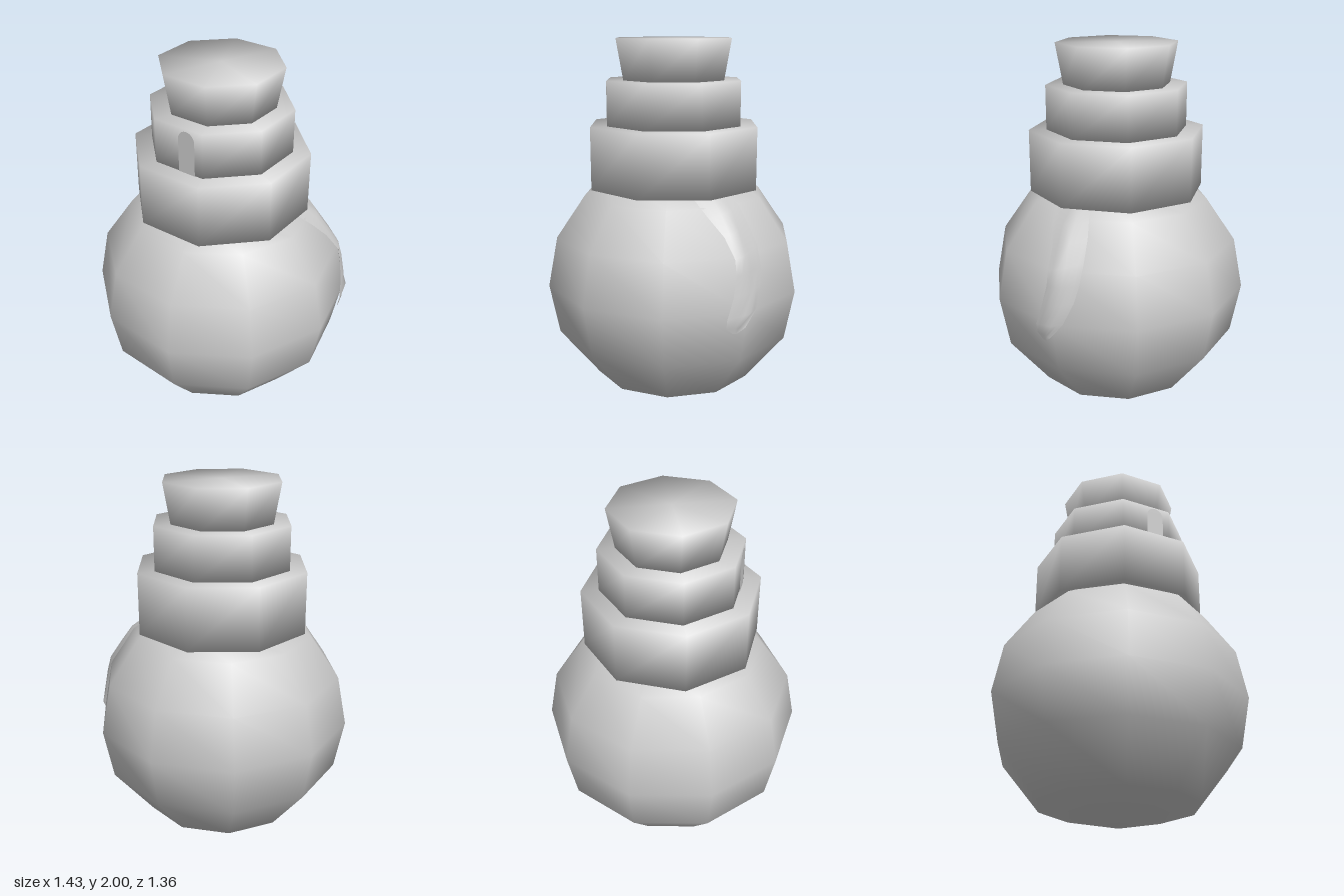
import * as THREE from 'three';
import { mergeVertices } from 'three/addons/utils/BufferGeometryUtils.js';

const material = new THREE.MeshStandardMaterial({ color: 0xcccccc });
const thin = new THREE.MeshStandardMaterial({ color: 0xcccccc, side: THREE.DoubleSide });
const rad = THREE.MathUtils.degToRad;

// Body profile as [radius, height], from the pole up
const profile = [[0, 0], [0.44, 0.11], [0.66, 0.38], [0.713, 0.655], [0.66, 0.93], [0.5, 1.16], [0.36, 1.25], [0, 1.3]];

// Distance of the ten-sided body surface from the axis
function bodyRadius(y, angle) {
  let i = 1;
  while (i < profile.length - 1 && profile[i][1] < y) i++;
  const [r0, y0] = profile[i - 1], [r1, y1] = profile[i];
  const r = r0 + (r1 - r0) * (y - y0) / (y1 - y0);
  return r * Math.cos(rad(18)) / Math.cos(rad((angle % 36) - 18));
}

// Indexed grid of rows of points
function gridGeometry(rows) {
  const n = rows[0].length, index = [];
  for (let i = 0; i < rows.length - 1; i++) {
    for (let j = 0; j < n - 1; j++) {
      const a = i * n + j, b = a + n;
      index.push(a, a + 1, b, a + 1, b + 1, b);
    }
  }
  const g = new THREE.BufferGeometry();
  g.setAttribute('position', new THREE.Float32BufferAttribute(rows.flat(2), 3));
  g.setIndex(index);
  g.computeVertexNormals();
  return g;
}

// Eight-sided ring whose walls and caps share smooth normals
function octagon(top, bottom, y0, y1) {
  const g = new THREE.CylinderGeometry(top, bottom, y1 - y0, 8);
  g.translate(0, (y0 + y1) / 2, 0);
  g.deleteAttribute('normal');
  g.deleteAttribute('uv');
  const merged = mergeVertices(g);
  merged.computeVertexNormals();
  return merged;
}

export function createModel() {
  const group = new THREE.Group();
  const add = (name, geometry, mat = material) => {
    const mesh = new THREE.Mesh(geometry, mat);
    mesh.name = name;
    group.add(mesh);
    return mesh;
  };

  // Round flask body, corners on the x axis
  add('body', new THREE.LatheGeometry(profile.map(p => new THREE.Vector2(...p)), 10, Math.PI / 2));

  // Stacked collar, neck and flared stopper
  add('collar', octagon(0.48, 0.48, 1.2, 1.54));
  add('neck', octagon(0.385, 0.385, 1.54, 1.78));
  add('stopper', octagon(0.33, 0.29, 1.78, 2));

  // Curved streak hugging the body: [inner angle, inner y, outer angle, outer y]
  const streak = [
    [55, 1.215, 27, 1.215], [48, 1.12, 25, 1.16], [42, 1.03, 24, 1.08], [40, 0.93, 24, 0.97],
    [40, 0.85, 25, 0.87], [42, 0.74, 27, 0.78], [45, 0.63, 31, 0.67], [45, 0.58, 37, 0.58], [42, 0.55, 40, 0.55],
  ];
  add('bodyStreak', gridGeometry(streak.map(([a0, y0, a1, y1]) =>
    Array.from({ length: 7 }, (_, j) => {
      const t = j / 6, a = a0 + (a1 - a0) * t, y = y0 + (y1 - y0) * t;
      const r = bodyRadius(y, a) + 0.018;
      return [r * Math.cos(rad(a)), y, r * Math.sin(rad(a))];
    }))), thin);

  // Narrow round-topped strip on one side of the neck
  const w = 0.05, shape = new THREE.Shape();
  shape.moveTo(-w, 1.54);
  shape.lineTo(w, 1.54);
  shape.lineTo(w, 1.72);
  shape.absarc(0, 1.72, w, 0, Math.PI, false);
  const strip = add('neckStreak', new THREE.ShapeGeometry(shape, 6), thin);
  strip.position.set(-0.312, 0, 0.188);
  strip.rotation.y = rad(-67.5);
  return group;
}
